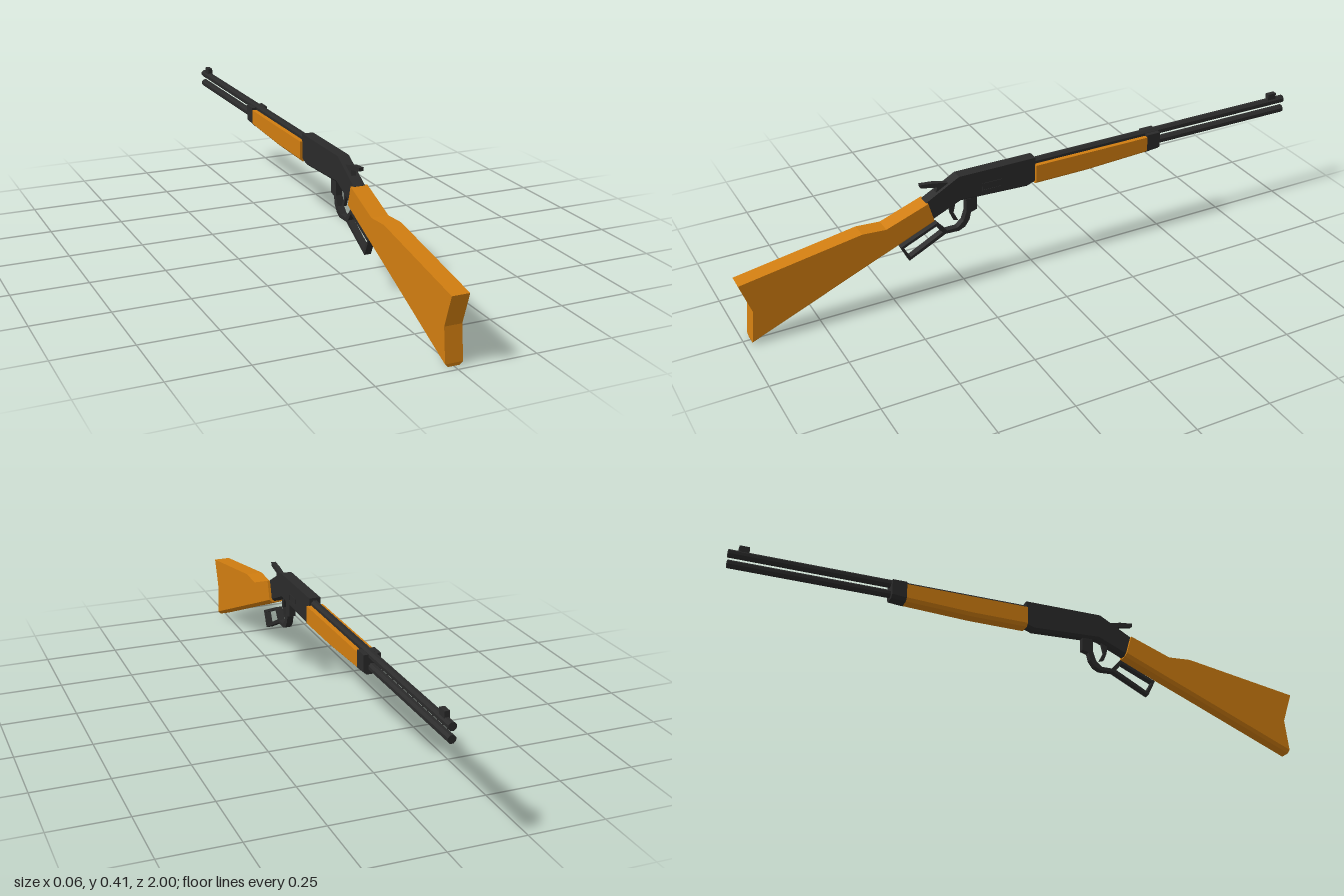
import * as THREE from 'three';

const WOOD = new THREE.MeshStandardMaterial({ color: 0xd07d10 });
const STEEL = new THREE.MeshStandardMaterial({ color: 0x2a2a2a });

function part(name, geometry, material) {
  const mesh = new THREE.Mesh(geometry, material);
  mesh.name = name;
  return mesh;
}

// Lofts stations (ordered from -z to +z) of the form { top: [z, y], bot: [z, y], mid? }
// into a slab of half width w with chamfered lower edges.
function loft(stations, w, chamfer) {
  const rings = stations.map(({ top, bot, mid }) => {
    const t = chamfer / Math.hypot(top[0] - bot[0], top[1] - bot[1]);
    const lerp = (k) => [bot[0] + (top[0] - bot[0]) * k, bot[1] + (top[1] - bot[1]) * k];
    const rows = [[w - chamfer, bot], [w, lerp(t)], [w, mid || lerp(0.5)], [w, top]];
    const right = rows.map(([x, [z, y]]) => [x, y, z]);
    const left = rows.map(([x, [z, y]]) => [-x, y, z]);
    return [...right, ...left.reverse()];
  });
  const pos = [];
  const quad = (a, b, c, d) => pos.push(...a, ...b, ...c, ...a, ...c, ...d);
  for (let i = 0; i + 1 < rings.length; i++) {
    const a = rings[i], b = rings[i + 1];
    for (let j = 0; j < 8; j++) {
      const k = (j + 1) % 8;
      quad(a[j], a[k], b[k], b[j]);
    }
  }
  // end caps, one row of the section at a time
  const s = rings[0], e = rings[rings.length - 1];
  for (let j = 0; j < 3; j++) {
    quad(e[7 - j], e[j], e[j + 1], e[6 - j]);
    quad(s[j], s[7 - j], s[6 - j], s[j + 1]);
  }
  const g = new THREE.BufferGeometry();
  g.setAttribute('position', new THREE.Float32BufferAttribute(pos, 3));
  g.computeVertexNormals();
  return g;
}

// Extrudes a side outline of [z, y] points across x, centred on x = 0
function sidePlate(outline, width, hole) {
  const toPoints = (list) => list.map(([z, y]) => new THREE.Vector2(z, y));
  const shape = new THREE.Shape(toPoints(outline));
  if (hole) shape.holes.push(new THREE.Path(toPoints(hole)));
  const g = new THREE.ExtrudeGeometry(shape, { depth: width, bevelEnabled: false });
  return g.translate(0, 0, -width / 2).rotateY(-Math.PI / 2);
}

// Octagonal rod along z with a flat on top
function rod(radius, y, z0, z1) {
  const g = new THREE.CylinderGeometry(radius, radius, z1 - z0, 8).toNonIndexed();
  g.computeVertexNormals();
  return g.rotateY(Math.PI / 8).rotateX(Math.PI / 2).translate(0, y, (z0 + z1) / 2);
}

export function createModel() {
  const group = new THREE.Group();
  group.name = 'leverActionRifle';

  // wooden furniture
  const stock = loft([
    { top: [0.376, 0.334], bot: [0.355, 0.26] },
    { top: [0.52, 0.281], bot: [0.5, 0.199] },
    { top: [0.6, 0.286], bot: [0.59, 0.162] },
    { top: [1, 0.219], bot: [0.976, 0], mid: [0.965, 0.117] },
  ], 0.028, 0.01);
  const forearm = loft([
    { top: [-0.427, 0.372], bot: [-0.427, 0.314] },
    { top: [-0.2, 0.372], bot: [-0.2, 0.304] },
    { top: [-0.006, 0.372], bot: [-0.006, 0.303] },
  ], 0.028, 0.01);
  group.add(part('stock', stock, WOOD), part('forearm', forearm, WOOD));

  // receiver with its loading port on the +x side
  const receiver = loft([
    { top: [-0.008, 0.397], bot: [-0.008, 0.307] },
    { top: [0.02, 0.397], bot: [0.02, 0.297] },
    { top: [0.264, 0.397], bot: [0.258, 0.307] },
    { top: [0.38, 0.333], bot: [0.36, 0.262] },
  ], 0.019, 0.008);
  const port = sidePlate(
    [[0.115, 0.323], [0.185, 0.323], [0.185, 0.352], [0.115, 0.352]], 0.002,
    [[0.12, 0.328], [0.18, 0.328], [0.18, 0.347], [0.12, 0.347]]
  ).translate(0.0193, 0, 0);
  group.add(part('receiver', receiver, STEEL), part('loadingPort', port, STEEL));

  // barrel, magazine tube, band and front sight
  const band = loft([
    { top: [-0.476, 0.38], bot: [-0.476, 0.317] },
    { top: [-0.427, 0.38], bot: [-0.427, 0.313] },
  ], 0.028, 0.01);
  group.add(
    part('barrel', rod(0.0135, 0.376, -1, 0), STEEL),
    part('magazineTube', rod(0.0135, 0.339, -1, -0.4), STEEL),
    part('barrelBand', band, STEEL),
    part('frontSight', new THREE.BoxGeometry(0.016, 0.024, 0.032).translate(0, 0.395, -0.951), STEEL)
  );

  // hammer, trigger and looped lever
  const hammer = sidePlate([
    [0.392, 0.395], [0.39, 0.383], [0.335, 0.372], [0.345, 0.34],
    [0.28, 0.345], [0.295, 0.378], [0.345, 0.39],
  ], 0.016);
  const trigger = sidePlate([
    [0.297, 0.31], [0.27, 0.31], [0.281, 0.265],
    [0.265, 0.233], [0.281, 0.238], [0.292, 0.265],
  ], 0.01);
  const lever = sidePlate([
    [0.238, 0.305], [0.2, 0.305], [0.2, 0.26], [0.222, 0.254], [0.228, 0.228],
    [0.244, 0.206], [0.265, 0.196], [0.313, 0.198], [0.442, 0.134], [0.469, 0.19],
    [0.34, 0.246], [0.308, 0.209], [0.27, 0.209], [0.249, 0.228], [0.238, 0.26],
  ], 0.022, [[0.458, 0.185], [0.345, 0.234], [0.324, 0.206], [0.437, 0.147]]);
  group.add(
    part('hammer', hammer, STEEL),
    part('trigger', trigger, STEEL),
    part('lever', lever, STEEL)
  );
  return group;
}
